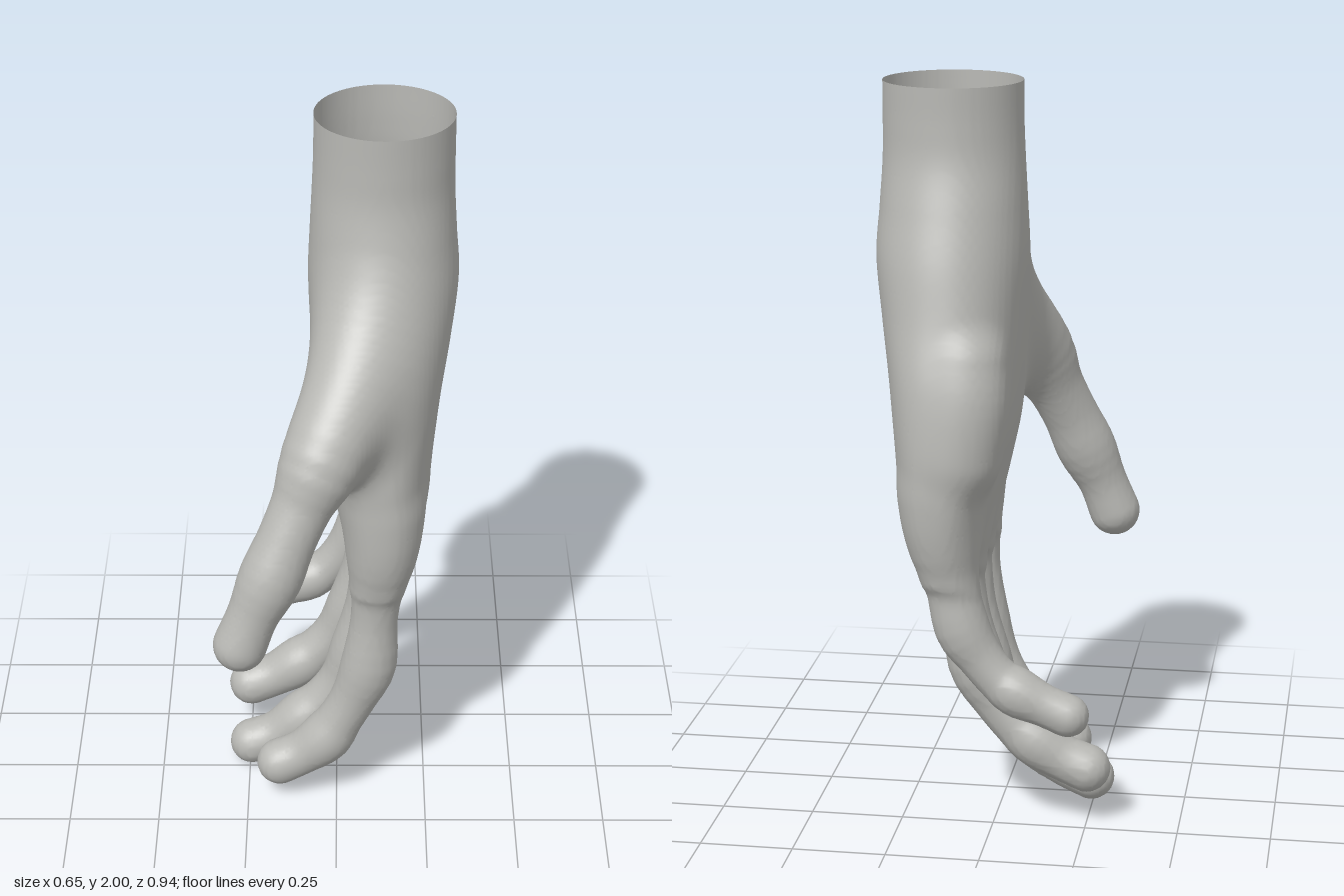
import * as THREE from 'three';

const skin = new THREE.MeshStandardMaterial({ color: 0xb8b8b4, side: THREE.DoubleSide });
skin.name = 'plain grey';

// Wrist and palm: rounded sections [y, xMin, xMax, zMin, zMax, squareness]
const palmRows = [
  [2.02, -0.060, 0.305, -0.290, 0.075, 2.0],
  [1.90, -0.061, 0.305, -0.290, 0.075, 2.0],
  [1.80, -0.065, 0.306, -0.298, 0.080, 2.0],
  [1.68, -0.071, 0.313, -0.330, 0.105, 2.05],
  [1.55, -0.076, 0.321, -0.368, 0.140, 2.1],
  [1.40, -0.070, 0.304, -0.403, 0.190, 2.3],
  [1.25, -0.060, 0.281, -0.445, 0.230, 2.5],
  [1.10, -0.045, 0.264, -0.464, 0.242, 2.6],
  [0.98, -0.020, 0.253, -0.463, 0.243, 2.6],
  [0.88, 0.004, 0.236, -0.455, 0.238, 2.6],
  [0.80, 0.024, 0.206, -0.438, 0.222, 2.6],
  [0.73, 0.045, 0.170, -0.415, 0.198, 2.5],
  [0.60, 0.050, 0.150, -0.400, 0.180, 2.5],
];
const palmEnd = 0.735;

// Rounded limbs as joints [x, y, z, radius]
const limbs = {
  heelOfHand: [
    [0.042, 1.30, -0.340, 0.078],
    [0.040, 1.20, -0.352, 0.090],
    [0.058, 1.06, -0.358, 0.088],
  ],
  thumb: [
    [0.095, 1.54, 0.02, 0.090],
    [0.070, 1.45, 0.085, 0.110],
    [0.030, 1.33, 0.180, 0.120],
    [-0.038, 1.20, 0.280, 0.108],
    [-0.085, 1.10, 0.318, 0.083],
    [-0.130, 1.00, 0.351, 0.078],
    [-0.172, 0.90, 0.375, 0.084],
    [-0.217, 0.80, 0.391, 0.069],
    [-0.253, 0.708, 0.400, 0.072],
  ],
  indexFinger: [
    [0.135, 0.95, 0.135, 0.080],
    [0.127, 0.82, 0.140, 0.083],
    [0.110, 0.70, 0.136, 0.070],
    [0.102, 0.60, 0.135, 0.065],
    [0.089, 0.46, 0.132, 0.077],
    [0.050, 0.35, 0.130, 0.065],
    [0.010, 0.27, 0.128, 0.064],
    [-0.030, 0.205, 0.126, 0.073],
    [-0.095, 0.148, 0.123, 0.063],
    [-0.160, 0.114, 0.122, 0.065],
  ],
  middleFinger: [
    [0.140, 0.95, -0.020, 0.080],
    [0.130, 0.82, -0.022, 0.084],
    [0.108, 0.69, -0.026, 0.070],
    [0.090, 0.55, -0.030, 0.066],
    [0.062, 0.40, -0.032, 0.080],
    [0.018, 0.295, -0.034, 0.066],
    [-0.040, 0.215, -0.035, 0.064],
    [-0.095, 0.160, -0.035, 0.073],
    [-0.170, 0.100, -0.036, 0.062],
    [-0.243, 0.068, -0.036, 0.064],
  ],
  ringFinger: [
    [0.138, 0.95, -0.185, 0.080],
    [0.126, 0.82, -0.186, 0.084],
    [0.103, 0.70, -0.190, 0.070],
    [0.080, 0.57, -0.192, 0.066],
    [0.050, 0.44, -0.195, 0.078],
    [0.000, 0.345, -0.197, 0.065],
    [-0.058, 0.275, -0.199, 0.064],
    [-0.110, 0.232, -0.200, 0.072],
    [-0.180, 0.187, -0.200, 0.063],
    [-0.248, 0.159, -0.200, 0.065],
  ],
  littleFinger: [
    [0.130, 0.95, -0.345, 0.080],
    [0.117, 0.83, -0.345, 0.080],
    [0.092, 0.71, -0.348, 0.069],
    [0.065, 0.595, -0.350, 0.073],
    [0.020, 0.520, -0.351, 0.061],
    [-0.030, 0.460, -0.353, 0.058],
    [-0.080, 0.425, -0.354, 0.066],
    [-0.150, 0.393, -0.355, 0.056],
    [-0.215, 0.367, -0.355, 0.057],
  ],
};

const spline = (pts) => new THREE.CatmullRomCurve3(pts, false, 'catmullrom', 0.5);

// Distance to a limb: nearest tapered segment of its smoothed path
function limbDistance(joints) {
  const steps = joints.length * 3;
  const path = spline(joints.map(([x, y, z]) => new THREE.Vector3(x, y, z))).getPoints(steps);
  const radii = spline(joints.map((p) => new THREE.Vector3(p[3], 0, 0))).getPoints(steps);
  return (x, y, z) => {
    let best = Infinity;
    for (let i = 0; i < steps; i++) {
      const a = path[i], b = path[i + 1];
      const ex = b.x - a.x, ey = b.y - a.y, ez = b.z - a.z;
      const px = x - a.x, py = y - a.y, pz = z - a.z;
      const t = Math.min(1, Math.max(0, (px * ex + py * ey + pz * ez) / (ex * ex + ey * ey + ez * ez)));
      const r = radii[i].x + (radii[i + 1].x - radii[i].x) * t;
      best = Math.min(best, Math.hypot(px - ex * t, py - ey * t, pz - ez * t) - r);
    }
    return best;
  };
}

// Distance to the palm, from the smoothed section at height y
const palmMid = spline(palmRows.map(([y, x0, x1, z0, z1]) => new THREE.Vector3((x0 + x1) / 2, y, (z0 + z1) / 2))).getPoints(480);
const palmHalf = spline(palmRows.map(([, x0, x1, z0, z1, n]) => new THREE.Vector3((x1 - x0) / 2, n, (z1 - z0) / 2))).getPoints(480);
function palmDistanceAt(y) {
  const found = palmMid.findIndex((p) => p.y <= y);
  const i = found < 0 ? 480 : Math.max(1, found);
  const t = Math.min(1, (palmMid[i - 1].y - y) / (palmMid[i - 1].y - palmMid[i].y));
  const c = palmMid[i - 1].clone().lerp(palmMid[i], t), h = palmHalf[i - 1].clone().lerp(palmHalf[i], t);
  const n = h.y;
  return (x, z) => {
    const u = Math.abs(x - c.x) / h.x + 1e-6, v = Math.abs(z - c.z) / h.z + 1e-6;
    const f = (u ** n + v ** n) ** (1 / n);
    const slope = f ** (1 - n) * Math.hypot(u ** (n - 1) / h.x, v ** (n - 1) / h.z);
    return Math.max((f - 1) / slope, palmEnd - y);
  };
}

// Union with a soft fillet of size k
function blend(a, b, k) {
  const w = Math.max(0, k - Math.abs(a - b));
  return Math.min(a, b) - (w * w) / (4 * k);
}

export function createModel() {
  const names = ['wristAndPalm', ...Object.keys(limbs)];
  const limbFields = Object.values(limbs).map(limbDistance);

  // Sample the blended shape on a grid, noting the nearest part
  const step = 0.0125, size = [59, 163, 81];
  const origin = [-0.3625, 2 - 162 * step, -0.5];
  const stride = [1, size[0], size[0] * size[1]];
  const total = stride[2] * size[2];
  const field = new Float32Array(total), part = new Uint8Array(total);
  for (let j = 0; j < size[1]; j++) {
    const y = origin[1] + j * step, palm = palmDistanceAt(y);
    for (let k = 0; k < size[2]; k++) {
      for (let i = 0; i < size[0]; i++) {
        const x = origin[0] + i * step, z = origin[2] + k * step;
        const d = [palm(x, z), ...limbFields.map((f) => f(x, y, z))];
        const id = i + j * stride[1] + k * stride[2];
        const withFingers = blend(d[0], Math.min(d[3], d[4], d[5], d[6]), 0.06);
        field[id] = blend(blend(withFingers, d[1], 0.06), d[2], 0.1);
        part[id] = d.indexOf(Math.min(...d));
      }
    }
  }

  // One vertex in each cell the surface crosses, at the mean of its edge crossings
  const points = [], vertexOf = new Int32Array(total).fill(-1);
  const forCells = (visit) => {
    for (let k = 0; k < size[2] - 1; k++)
      for (let j = 0; j < size[1] - 1; j++)
        for (let i = 0; i < size[0] - 1; i++) visit([i, j, k], i + j * stride[1] + k * stride[2]);
  };
  forCells((cell, id) => {
    const sum = [0, 0, 0];
    let count = 0;
    for (let corner = 0; corner < 8; corner++) {
      const bits = [corner & 1, (corner >> 1) & 1, corner >> 2];
      const from = id + bits[0] + bits[1] * stride[1] + bits[2] * stride[2];
      for (let a = 0; a < 3; a++) {
        if (bits[a]) continue;
        const d0 = field[from], d1 = field[from + stride[a]];
        if (d0 < 0 === d1 < 0) continue;
        for (let m = 0; m < 3; m++) sum[m] += bits[m] + (m === a ? d0 / (d0 - d1) : 0);
        count++;
      }
    }
    if (!count) return;
    const p = sum.map((s, m) => origin[m] + (cell[m] + s / count) * step);
    if (cell[1] === size[1] - 2) p[1] = 2; // level rim of the open wrist
    vertexOf[id] = points.length;
    points.push(new THREE.Vector3(...p));
  });

  // A quad around each crossed grid edge, sorted by part
  const faces = names.map(() => []);
  forCells((cell, id) => {
    for (let a = 0; a < 3; a++) {
      const b = (a + 1) % 3, c = (a + 2) % 3, end = id + stride[a];
      if (!cell[b] || !cell[c] || field[id] < 0 === field[end] < 0) continue;
      const q = [id - stride[b] - stride[c], id - stride[c], id, id - stride[b]].map((n) => vertexOf[n]);
      if (field[id] >= 0) q.reverse();
      faces[part[id]].push(q[0], q[1], q[2], q[0], q[2], q[3]);
    }
  });

  // Shared smooth normals keep the joins between parts seamless
  const whole = new THREE.BufferGeometry().setFromPoints(points);
  whole.setIndex(faces.flat());
  whole.computeVertexNormals();
  const hand = new THREE.Group();
  hand.name = 'hand';
  names.forEach((name, n) => {
    whole.setIndex(faces[n]);
    const mesh = new THREE.Mesh(whole.toNonIndexed(), skin);
    mesh.name = name;
    hand.add(mesh);
  });
  return hand;
}
